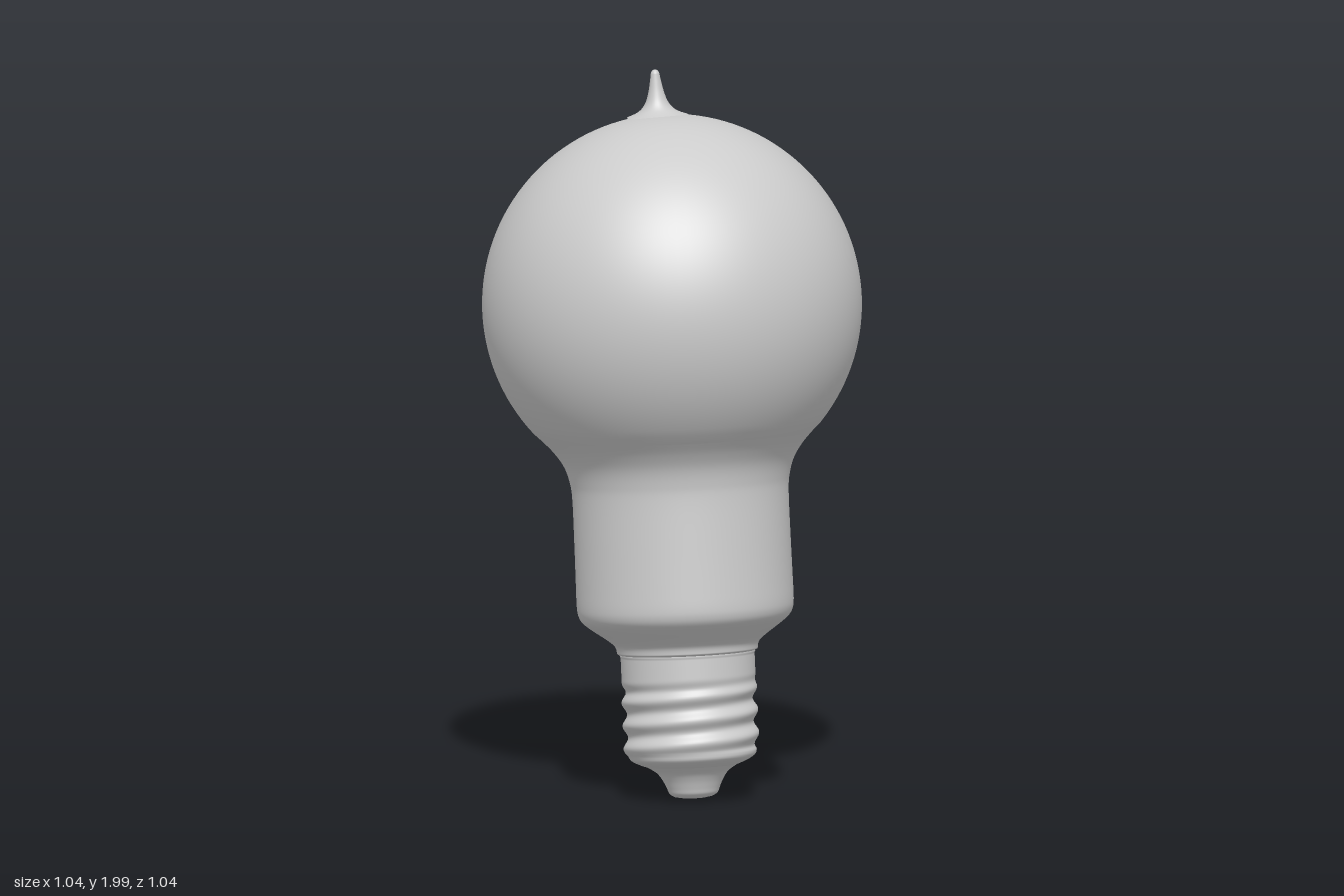
import * as THREE from 'three';
import { mergeVertices } from 'three/addons/utils/BufferGeometryUtils.js';

const SEGMENTS = 96;
const CENTRE = 1.36; // height of the globe's centre
const RADIUS = 0.521;
const material = new THREE.MeshStandardMaterial({ color: 0xcccccc, roughness: 0.6 });

const toPoints = (pairs) => pairs.map(([r, y]) => new THREE.Vector2(r, y));
const smooth = (pairs, count) => new THREE.SplineCurve(toPoints(pairs)).getPoints(count);

function turned(name, points, segments = SEGMENTS) {
  const mesh = new THREE.Mesh(new THREE.LatheGeometry(points, segments), material);
  mesh.name = name;
  return mesh;
}

// Round globe running down through a flared throat into a straight neck
function makeGlass() {
  const points = toPoints([[0.18, 0.398], [0.193, 0.405]]);
  points.push(...smooth([[0.193, 0.405], [0.198, 0.425], [0.22, 0.445], [0.262, 0.475],
    [0.285, 0.495], [0.295, 0.515], [0.298, 0.54], [0.298, 0.58]], 32).slice(1));
  points.push(...smooth([[0.298, 0.58], [0.297, 0.7], [0.297, 0.83], [0.302, 0.88],
    [0.316, 0.925], [0.342, 0.965], [0.372, 0.998]], 36).slice(1));
  const start = Math.asin((1.02 - CENTRE) / RADIUS);
  for (let i = 0; i <= 48; i++) {
    const a = THREE.MathUtils.lerp(start, Math.PI / 2, i / 48);
    points.push(new THREE.Vector2(Math.max(0, RADIUS * Math.cos(a)), CENTRE + RADIUS * Math.sin(a)));
  }
  return turned('glassGlobe', points);
}

// Metal sleeve with a helical thread pressed into its wall
function makeScrewCap() {
  const points = smooth([[0.125, 0.09], [0.15, 0.1], [0.17, 0.112], [0.18, 0.13]], 12);
  for (let i = 1; i <= 64; i++) points.push(new THREE.Vector2(0.18, 0.13 + (0.265 * i) / 64));
  points.push(...toPoints([[0.186, 0.397], [0.186, 0.404], [0.176, 0.408]]));
  const mesh = turned('screwCap', points);

  const pitch = 0.0635, depth = 0.007;
  const pos = mesh.geometry.attributes.position;
  for (let i = 0; i < pos.count; i++) {
    const x = pos.getX(i), y = pos.getY(i), z = pos.getZ(i);
    const fade = THREE.MathUtils.smoothstep(y, 0.105, 0.14)
      * (1 - THREE.MathUtils.smoothstep(y, 0.29, 0.34));
    const wave = Math.cos((2 * Math.PI * (y - 0.165)) / pitch - Math.atan2(x, z));
    const rim = 0.004 * THREE.MathUtils.smoothstep(y, 0.29, 0.34);
    const scale = 1 + (depth * wave * fade + (y < 0.396 ? rim : 0)) / Math.hypot(x, z);
    pos.setXYZ(i, x * scale, y, z * scale);
  }
  mesh.geometry.deleteAttribute('uv');
  mesh.geometry.deleteAttribute('normal');
  mesh.geometry = mergeVertices(mesh.geometry, 1e-5);
  mesh.geometry.computeVertexNormals();
  return mesh;
}

// Concave insulator ending in a small contact button
function makeContact() {
  const points = toPoints([[0, 0], [0.03, 0.001], [0.052, 0.005]]);
  points.push(...smooth([[0.052, 0.005], [0.066, 0.014], [0.073, 0.03], [0.084, 0.053],
    [0.1, 0.074], [0.128, 0.092]], 24).slice(1));
  return turned('contact', points);
}

// Drawn-out glass seal standing on the crown
function makeTip() {
  const points = smooth([[0.085, -0.014], [0.06, -0.004], [0.043, 0.008], [0.03, 0.027],
    [0.021, 0.055], [0.015, 0.085], [0.0115, 0.106]], 28);
  points.push(...toPoints([[0.008, 0.112], [0.004, 0.1145], [0, 0.115]]));
  const tip = turned('sealTip', points, 32);
  tip.position.set(0.009, 1.885, -0.073);
  tip.rotation.set(-0.08, 0, 0.01);
  return tip;
}

export function createModel() {
  const model = new THREE.Group();
  model.name = 'lightBulb';

  // The whole bulb leans about the centre of its globe
  const bulb = new THREE.Group();
  bulb.name = 'leaningBulb';
  const axis = new THREE.Vector3(0.024, 1, -0.097).normalize();
  bulb.quaternion.setFromUnitVectors(new THREE.Vector3(0, 1, 0), axis);
  bulb.position.set(0, CENTRE, 0).addScaledVector(axis, -CENTRE);
  bulb.add(makeGlass(), makeScrewCap(), makeContact());

  model.add(bulb, makeTip());
  return model;
}
